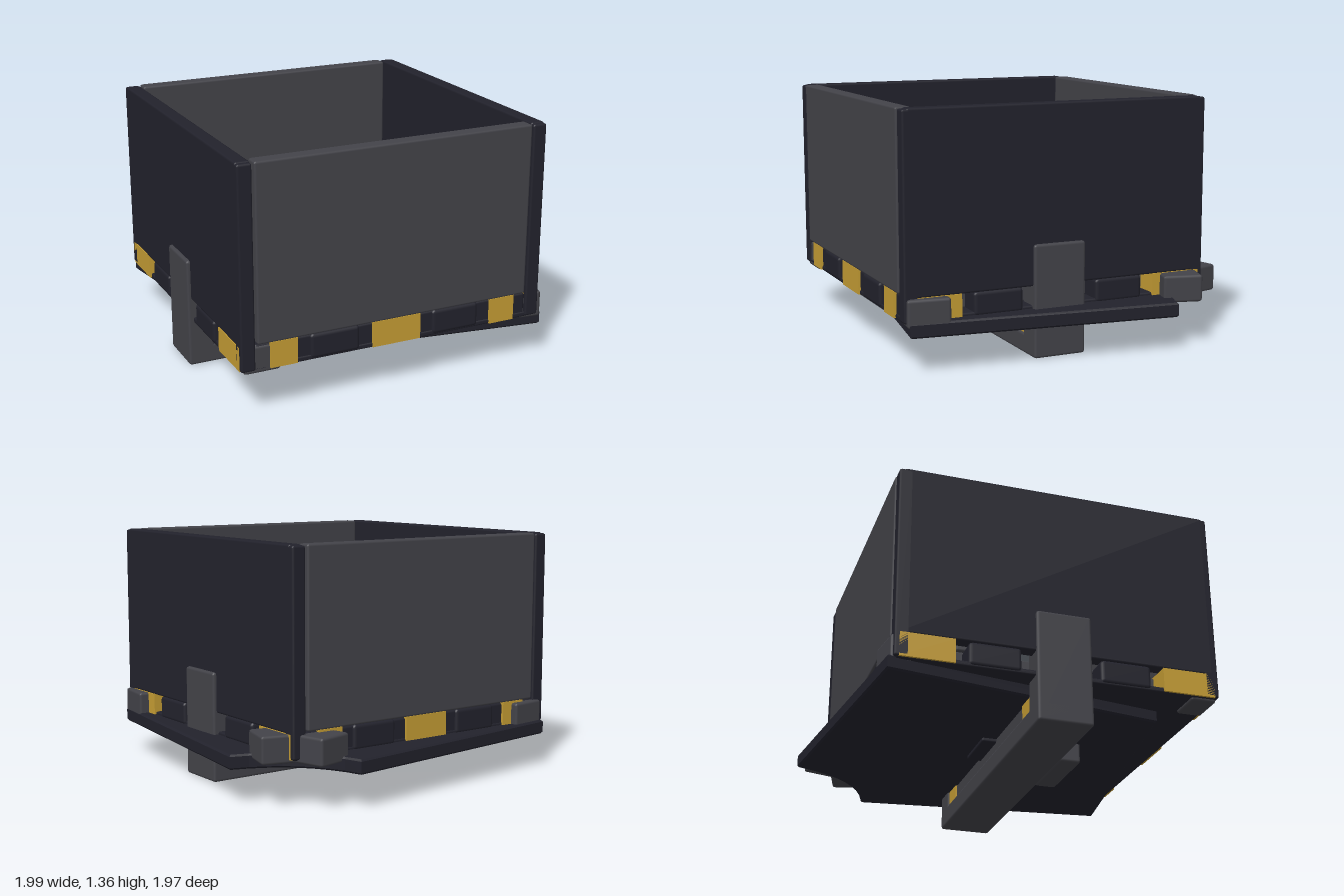
import * as THREE from 'three';
import { RoundedBoxGeometry } from 'three/addons/geometries/RoundedBoxGeometry.js';

const mat = (name, color, side = THREE.FrontSide) => {
  const m = new THREE.MeshStandardMaterial({ color, side });
  m.name = name;
  return m;
};

export function createModel() {
  const model = new THREE.Group();
  const grey = mat('charcoal grey', 0x434349);
  const dark = mat('blue black', 0x22222c);
  const yellow = mat('warning yellow', 0xc59d34);
  const orange = mat('deck orange', 0xaf803b);
  const light = mat('steel grey', 0x7d848e);

  // Box given by its ranges on each axis
  const box = (name, m, [x0, x1], [y0, y1], [z0, z1], r = 0.012) => {
    const w = x1 - x0, h = y1 - y0, d = z1 - z0;
    const g = r ? new RoundedBoxGeometry(w, h, d, 1, Math.min(r, w / 3, h / 3, d / 3))
      : new THREE.BoxGeometry(w, h, d);
    const mesh = new THREE.Mesh(g, m);
    mesh.name = name;
    mesh.position.set((x0 + x1) / 2, (y0 + y1) / 2, (z0 + z1) / 2);
    model.add(mesh);
    return mesh;
  };
  // Box given by centre and size, turned about the vertical
  const turned = (name, m, x, z, w, d, y, deg) => {
    const b = box(name, m, [x - w / 2, x + w / 2], y, [z - d / 2, z + d / 2], 0.015);
    b.rotation.y = THREE.MathUtils.degToRad(deg);
    return b;
  };

  // The hull is centred on (cx, cz)
  const cx = -0.1, cz = 0.1;

  // Tall open walls
  for (const s of [-1, 1]) {
    const x = cx + s * 0.84, z = cz + s * 0.84;
    box('sideWall', dark, [x - 0.04, x + 0.04], [0.39, 1.355], [-0.75, 0.955]);
    box('endWall', grey, [-0.89, 0.69], [0.4, 1.355], [z - 0.043, z + 0.043]);
    for (const t of [-1, 1]) {
      const px = cx + t * 0.84;
      box('cornerPost', dark, [px - 0.04, px + 0.04], [0.26, 1.35], [z - 0.04, z + 0.04]);
    }
  }

  // Floor and lower ring
  box('floor', dark, [-0.97, 0.77], [0.255, 0.285], [-0.77, 0.97]);
  for (const s of [-1, 1]) {
    const x = cx + s * 0.83, z = cz + s * 0.83;
    box('endSill', dark, [-0.9, 0.7], [0.26, 0.395], [z - 0.035, z + 0.035]);
    // Dark blocks and yellow blocks along each edge
    const bx = [cx + s * 0.795 - 0.085, cx + s * 0.795 + 0.085];
    const bz = [cz + s * 0.795 - 0.085, cz + s * 0.795 + 0.085];
    for (const t of [-1, 1]) {
      const mx = cx + t * 0.355, mz = cz + t * 0.355;
      box('endBlock', dark, [mx - 0.14, mx + 0.14], [0.262, 0.4], bz, 0.02);
      box('sideBlock', dark, bx, [0.262, 0.392], [mz - 0.14, mz + 0.14], 0.02);
      const yx = cx + t * 0.645, yz = cz + t * 0.71;
      box('endCornerMark', yellow, [yx - 0.075, yx + 0.075], [0.26, 0.402], bz, 0);
      box('sideCornerMark', yellow, bx, [0.26, 0.392], [yz - 0.145, yz + 0.145], 0);
    }
    box('endCentreMark', yellow, [-0.24, 0.04], [0.26, 0.402], bz, 0);
    // Inner rail
    const rx = cx + s * 0.695;
    box('innerRail', grey, [rx - 0.055, rx + 0.055], [0.28, 0.39], [-0.6, 0.8]);
    // Beams across the inside
    const z2 = cz + s * 0.47;
    box('crossBeam', grey, [-0.86, 0.65], [0.39, 0.49], [z2 - 0.06, z2 + 0.06]);
  }

  // Skewed lower plate with a hollowed rear corner
  const shape = new THREE.Shape();
  shape.moveTo(-0.95, -0.8);
  shape.lineTo(0.5, -0.98);
  shape.quadraticCurveTo(0.6, -0.6, 0.98, -0.5);
  shape.lineTo(0.8, 0.95);
  shape.lineTo(-0.72, 0.72);
  shape.closePath();
  const plateGeo = new THREE.ExtrudeGeometry(shape, {
    depth: 0.06, bevelEnabled: true, bevelThickness: 0.01, bevelSize: 0.01, bevelSegments: 1, curveSegments: 8,
  });
  plateGeo.rotateX(Math.PI / 2);
  const plate = new THREE.Mesh(plateGeo, dark);
  plate.name = 'lowerPlate';
  plate.position.y = 0.26;
  model.add(plate);

  // Corner bumpers
  const by = [0.24, 0.39];
  turned('rearRightBumper', grey, 0.62, -0.80, 0.22, 0.19, by, 15);
  turned('rearRightBumper', grey, 0.80, -0.62, 0.19, 0.22, by, -15);
  turned('rearLeftBumper', grey, -0.84, -0.745, 0.22, 0.12, by, 7);
  turned('frontRightBumper', grey, 0.755, 0.85, 0.13, 0.23, by, -7);
  turned('frontLeftBumper', grey, -0.86, 0.9, 0.2, 0.14, by, 0);

  // Cradle strap under and up both sides
  const cradleZ = [-0.04, 0.26];
  box('cradleBeam', grey, [-1, 0.8], [0, 0.11], cradleZ, 0.015);
  box('cradleCore', grey, [-0.7, 0.53], [0.1, 0.2], [-0.02, 0.23]);
  for (const s of [-1, 1]) {
    const ux = cx + s * 0.825;
    box('cradleUpright', grey, [ux - 0.075, ux + 0.075], [0, 0.615], cradleZ, 0.015);
    const yx = cx + s * 0.685;
    box('cradleMark', yellow, [yx - 0.065, yx + 0.065], [0.11, 0.23], [-0.03, 0.25], 0);
  }
  box('innerBar', light, [-0.9, 0.7], [0.5, 0.62], [-0.035, 0.235], 0.015);
  box('undersidePad', dark, [-0.25, 0.05], [0.17, 0.2], [-0.1, 0]);

  // Round deck with corner lugs
  const cylinder = (name, m, r, x, z, y0, y1, n) => {
    const mesh = new THREE.Mesh(new THREE.CylinderGeometry(r, r, y1 - y0, n), m);
    mesh.name = name;
    mesh.position.set(x, (y0 + y1) / 2, z);
    model.add(mesh);
  };
  cylinder('deck', orange, 0.68, cx, cz, 0.27, 0.31, 40);
  for (const s of [-1, 1]) {
    for (const t of [-1, 1]) turned('deckLug', orange, cx + s * 0.5, cz + t * 0.5, 0.2, 0.2, [0.27, 0.305], 45);
    const lz = cz + s * 0.66;
    box('deckTab', orange, [-0.21, 0.01], [0.27, 0.315], [lz - 0.05, lz + 0.05]);
    turned('hubArm', light, cx, cz, 0.95, 0.14, [0.3, 0.335], s * 35);
  }

  // Fittings on the deck
  turned('fin', light, 0.24, -0.38, 0.21, 0.07, [0.28, 0.36], 45);
  turned('fin', light, 0.38, -0.24, 0.21, 0.07, [0.28, 0.36], 45);
  turned('fin', light, 0.11, -0.11, 0.16, 0.1, [0.3, 0.4], 45);
  turned('fin', light, -0.31, 0.3, 0.16, 0.1, [0.3, 0.4], 45);
  box('rearLatch', light, [-0.18, -0.02], [0.3, 0.4], [-0.295, -0.24]);
  cylinder('drum', light, 0.11, -0.44, 0.43, 0.3, 0.44, 24);
  box('centreHousing', dark, [-0.27, 0.05], [0.3, 0.49], [-0.11, 0.2], 0.03);
  box('housingMark', yellow, [-0.22, 0.02], [0.3, 0.44], [0.2, 0.32], 0);
  box('housingBar', light, [-0.28, 0.08], [0.4, 0.46], [0.265, 0.3]);
  box('frontMount', grey, [-0.315, 0.11], [0.08, 0.47], [0.325, 0.45], 0.015);

  return model;
}
